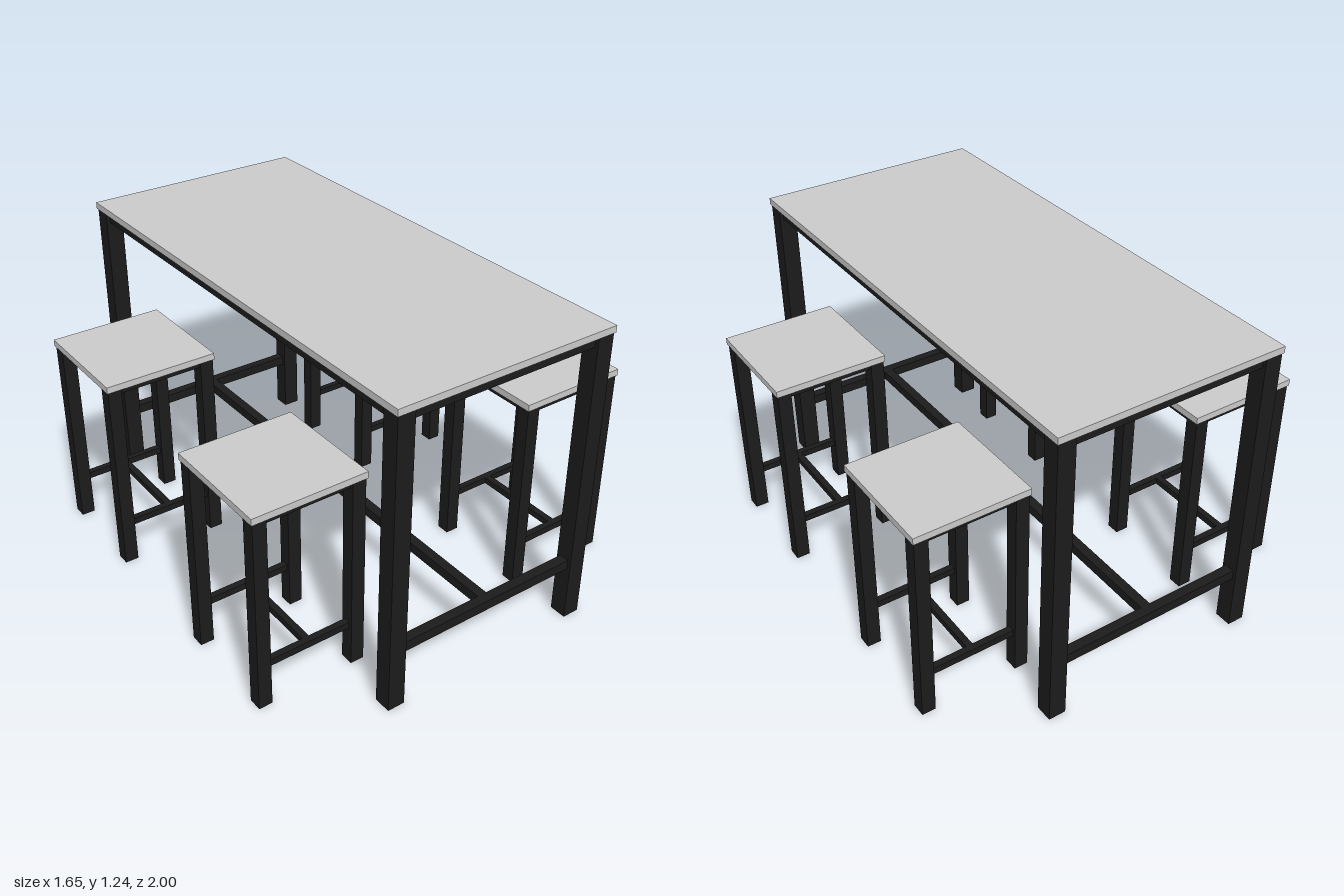
import * as THREE from 'three';

const topMaterial = new THREE.MeshStandardMaterial({ color: 0xcccccc });
const frameMaterial = new THREE.MeshStandardMaterial({ color: 0x1c1c1c });

function addBox(group, name, size, position, material = frameMaterial) {
  const mesh = new THREE.Mesh(new THREE.BoxGeometry(...size), material);
  mesh.name = name;
  mesh.position.set(...position);
  group.add(mesh);
}

// A slab on four square legs, with rails under the slab and an H-shaped stretcher
function framedTop(name, { width, depth, height, slab, leg, rail, railWidth, bar, barY }) {
  const group = new THREE.Group();
  group.name = name;
  const overhang = 0.005;
  const legTop = height - slab;
  const lx = width / 2 - overhang - leg / 2;
  const lz = depth / 2 - overhang - leg / 2;
  const spanX = 2 * lx - leg;
  const spanZ = 2 * lz - leg;

  addBox(group, 'top', [width, slab, depth], [0, height - slab / 2, 0], topMaterial);
  for (const s of [-1, 1]) {
    for (const t of [-1, 1]) {
      addBox(group, 'leg', [leg, legTop, leg], [s * lx, legTop / 2, t * lz]);
    }
    addBox(group, 'sideRail', [railWidth, rail, spanZ], [s * lx, legTop - rail / 2, 0]);
    addBox(group, 'endRail', [spanX, rail, railWidth], [0, legTop - rail / 2, s * lz]);
    addBox(group, 'endStretcher', [spanX, bar, bar], [0, barY, s * lz]);
  }
  // Middle bar of the H, running between the two end stretchers
  addBox(group, 'middleStretcher', [bar, bar, 2 * lz - bar], [0, barY, 0]);
  return group;
}

export function createModel() {
  const model = new THREE.Group();
  model.name = 'tableWithStools';

  model.add(framedTop('table', {
    width: 0.93, depth: 2, height: 1.235, slab: 0.027, leg: 0.07,
    rail: 0.042, railWidth: 0.042, bar: 0.04, barY: 0.243,
  }));

  // Two stools tucked under each long side
  for (const x of [-0.595, 0.595]) {
    for (const z of [-0.5, 0.5]) {
      const stool = framedTop('stool', {
        width: 0.462, depth: 0.465, height: 0.825, slab: 0.027, leg: 0.055,
        rail: 0.027, railWidth: 0.027, bar: 0.027, barY: 0.172,
      });
      stool.position.set(x, 0, z);
      model.add(stool);
    }
  }
  return model;
}
